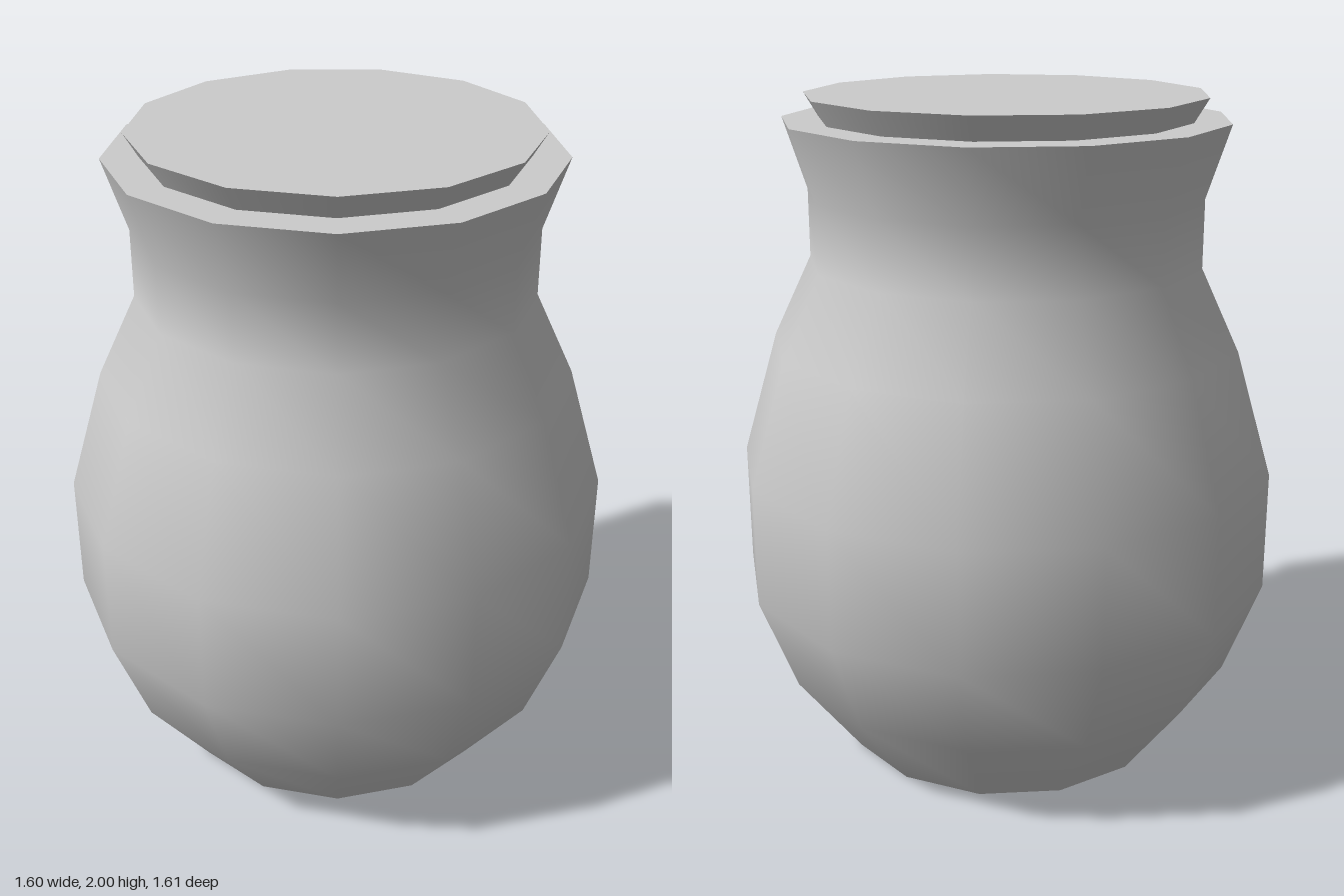
import * as THREE from 'three';

const SIDES = 13;

export function createModel() {
  const group = new THREE.Group();
  group.name = 'jar';
  const material = new THREE.MeshStandardMaterial({ color: 0xcccccc });

  // Each strip is its own lathe, so edges between strips stay sharp.
  // Profiles are [radius, height]; the first corner points to +x.
  const turn = (name, profile) => {
    const points = profile.map(([r, y]) => new THREE.Vector2(r, y));
    const mesh = new THREE.Mesh(new THREE.LatheGeometry(points, SIDES, Math.PI / 2), material);
    mesh.name = name;
    mesh.position.x = -0.012; // centres the odd-sided outline
    group.add(mesh);
  };

  // Jar
  turn('base', [[0, 0], [0.505, 0]]);
  turn('body', [
    [0.505, 0], [0.7, 0.26], [0.81, 0.55], [0.81, 0.91], [0.7, 1.28],
    [0.585, 1.52], [0.585, 1.72], [0.653, 1.93],
  ]);
  turn('rim', [[0.653, 1.93], [0.545, 1.93]]);

  // Stopper, flaring upwards out of the mouth
  turn('stopperSide', [[0.545, 1.93], [0.587, 2]]);
  turn('stopperTop', [[0.587, 2], [0, 2]]);

  return group;
}
